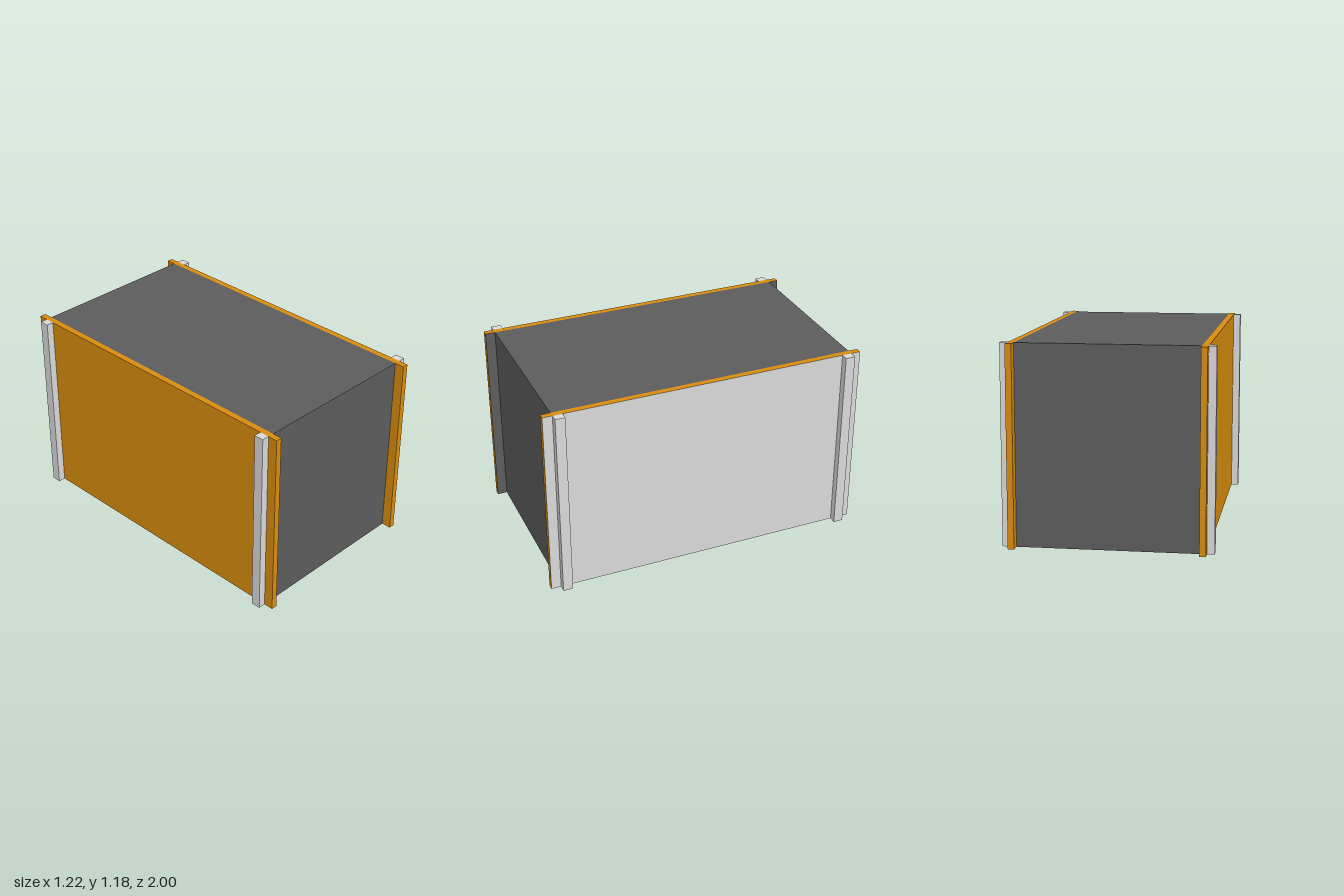
import * as THREE from 'three';

const HEIGHT = 1.18;
const material = (name, color) => {
  const m = new THREE.MeshStandardMaterial({ color });
  m.name = name;
  return m;
};

export function createModel() {
  const darkGrey = material('dark grey', 0x5c5c5c);
  const lightGrey = material('light grey', 0xd8d8d8);
  const orange = material('orange', 0xd88c0e);
  const model = new THREE.Group();
  model.name = 'container';

  // Full-height box placed by its centre on the ground
  const addBox = (name, width, depth, x, z, mat) => {
    const mesh = new THREE.Mesh(new THREE.BoxGeometry(width, HEIGHT, depth), mat);
    mesh.name = name;
    mesh.position.set(x, HEIGHT / 2, z);
    model.add(mesh);
  };

  // Dark body between the side panels
  addBox('body', 1.06, 1.88, 0, 0, darkGrey);

  for (const side of [1, -1]) {
    const label = side > 0 ? 'left' : 'right';

    // Orange panel whose +x face has its own colour
    const plusX = side > 0 ? lightGrey : darkGrey;
    addBox(label + 'SidePanel', 0.037, 2, side * 0.5485, 0,
      [plusX, orange, orange, orange, orange, orange]);

    // Upright posts near both ends of the panel
    for (const end of [1, -1]) {
      addBox(label + (end > 0 ? 'FrontPost' : 'BackPost'), 0.045, 0.06,
        side * 0.5895, end * 0.91, lightGrey);
    }
  }
  return model;
}
